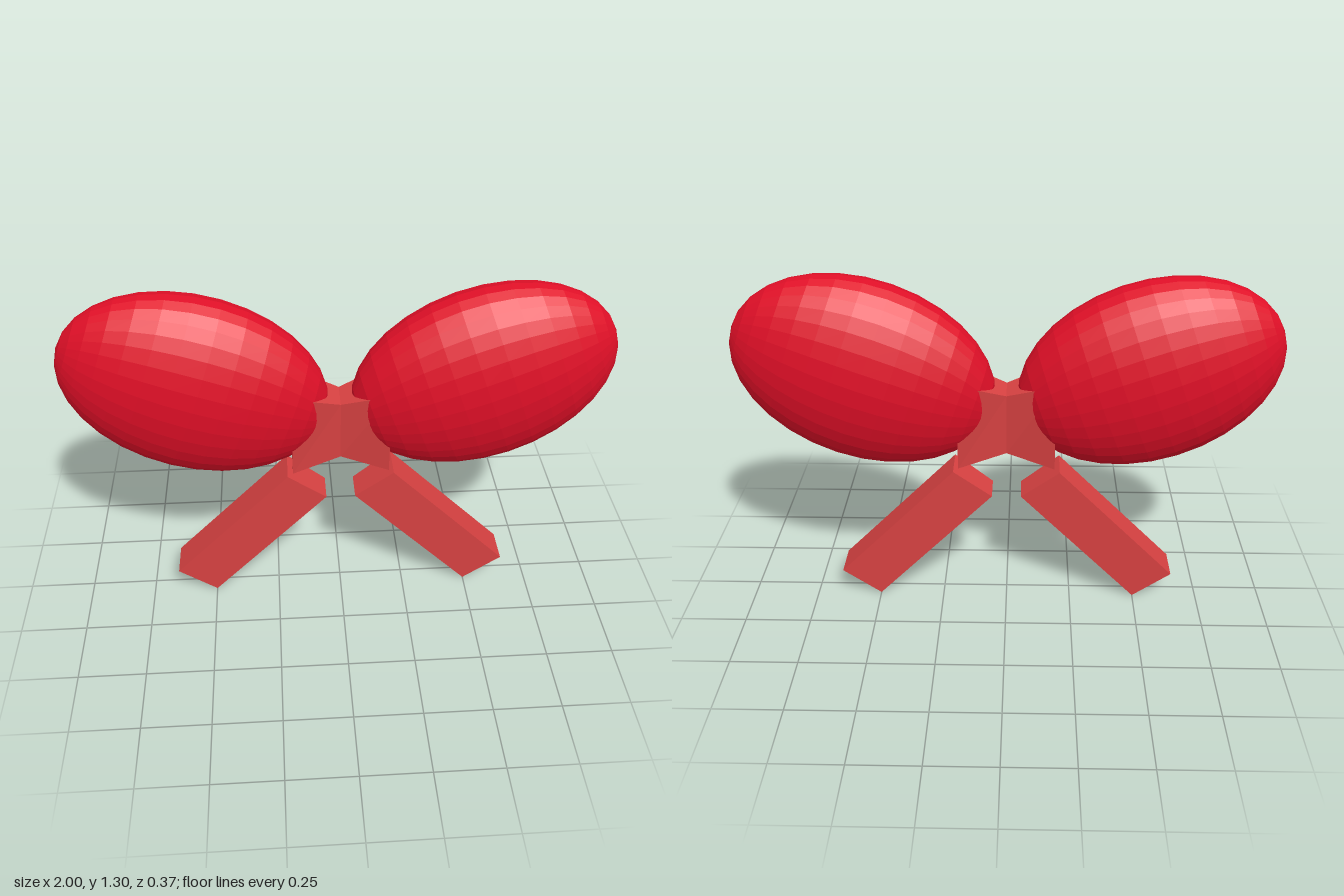
import * as THREE from 'three';

const loopRed = new THREE.MeshStandardMaterial({ color: 0xe00f27, flatShading: true });
loopRed.name = 'bright red';
const ribbonRed = new THREE.MeshStandardMaterial({ color: 0xd94242, flatShading: true });
ribbonRed.name = 'soft red';

// Move every vertex of a geometry by a rule
function reshape(geometry, rule) {
  const p = geometry.attributes.position;
  for (let i = 0; i < p.count; i++) p.setXYZ(i, ...rule(p.getX(i), p.getY(i), p.getZ(i)));
  geometry.computeVertexNormals();
  return geometry;
}

function part(name, geometry, material) {
  const mesh = new THREE.Mesh(geometry, material);
  mesh.name = name;
  return mesh;
}

// Puffed loop: flattened ellipsoid with its poles on the long axis, tilted up outward
function makeLoop() {
  const g = new THREE.SphereGeometry(1, 32, 16);
  g.rotateZ(-Math.PI / 2);
  g.scale(0.495, 0.345, 0.185);
  g.rotateZ(THREE.MathUtils.degToRad(20));
  g.translate(0.52, 0.94, 0);
  return part('loop', g, loopRed);
}

// Slanted ribbon tail, slightly thinner along its inner edge
function makeTail() {
  const g = reshape(new THREE.BoxGeometry(1, 1, 1), (u, v, w) => [
    0.055 + 0.145 * (u + 0.5) + 0.445 * (0.5 - v),
    0.45 + 0.11 * (u + 0.5) - 0.45 * (0.5 - v),
    Math.sign(w) * (u > 0 ? 0.07 : 0.06),
  ]);
  return part('tail', g, ribbonRed);
}

// Knot: pinched at the middle, flaring to both ends, thicker along the top
function makeKnot() {
  const g = reshape(new THREE.BoxGeometry(2, 1, 1, 2, 1, 1), (x, y, z) => {
    const flare = Math.abs(x);
    const top = y > 0;
    return [
      x * 0.18,
      top ? 0.87 + 0.06 * flare : 0.63 - 0.055 * flare,
      Math.sign(z) * (top ? 0.06 + 0.05 * flare : 0.047 + 0.023 * flare),
    ];
  });
  return part('knot', g, ribbonRed);
}

export function createModel() {
  const bow = new THREE.Group();
  bow.name = 'bow';
  bow.add(makeKnot());
  // Front and back match, so a half turn makes the opposite side
  for (const side of ['left', 'right']) {
    const half = new THREE.Group();
    half.name = side + 'Half';
    half.add(makeLoop(), makeTail());
    if (side === 'right') half.rotation.y = Math.PI;
    bow.add(half);
  }
  return bow;
}
